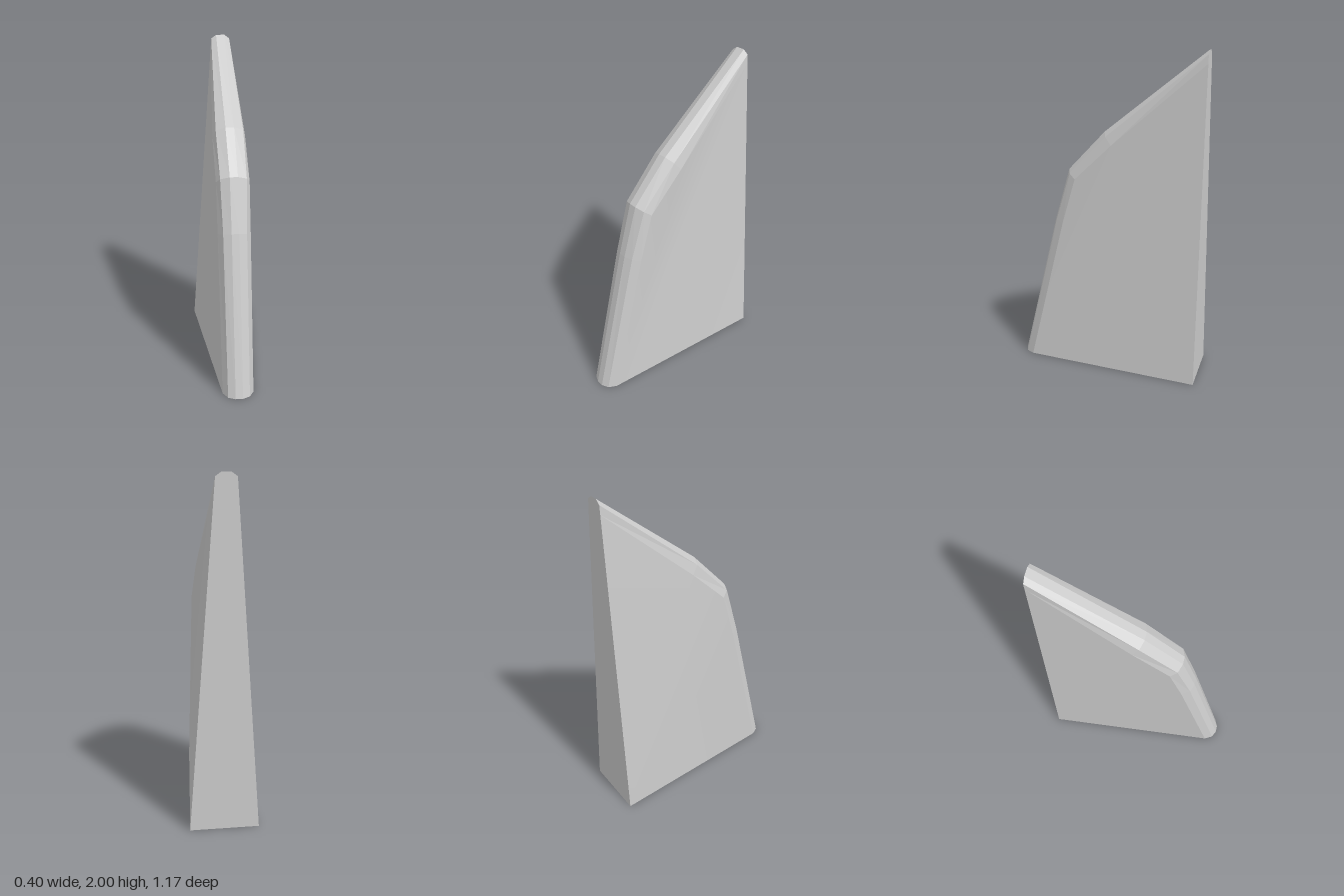
import * as THREE from 'three';
import { mergeVertices } from 'three/addons/utils/BufferGeometryUtils.js';

// Stations along the leading edge, from foot to tip.
// Each has three [x, y, z] points of the left half: outer edge, bevel, crest.
const stations = [
  [[0.093, 0, 0.515], [0.065, 0, 0.565], [0.022, 0, 0.585]],
  [[0.098, 0.93, 0.285], [0.07, 0.943, 0.334], [0.022, 0.95, 0.352]],
  [[0.1, 1.22, 0.2], [0.078, 1.25, 0.24], [0.024, 1.266, 0.26]],
  [[0.1, 1.44, -0.03], [0.083, 1.488, 0.01], [0.026, 1.51, 0.03]],
  [[0.063, 1.925, -0.585], [0.059, 1.977, -0.585], [0.027, 2, -0.585]],
];
const mirror = ([x, y, z]) => [-x, y, z];

function makeMesh(name, triangles, flatShading = true) {
  const soup = new THREE.BufferGeometry();
  soup.setAttribute('position', new THREE.Float32BufferAttribute(triangles.flat(2), 3));
  const geometry = mergeVertices(soup);
  geometry.computeVertexNormals();
  const mesh = new THREE.Mesh(geometry, new THREE.MeshStandardMaterial({ color: 0xcccccc, flatShading }));
  mesh.name = name;
  return mesh;
}

// Triangle fan over a polygon, from its first corner
const fan = (points) => points.slice(2).map((p, i) => [points[0], points[i + 1], p]);

export function createModel() {
  const group = new THREE.Group();
  group.name = 'fin';

  // Full cross-sections, left to right over the crest
  const rings = stations.map((half) => [...half, ...half.map(mirror).reverse()]);
  const footLeft = [0.2, 0, -0.585];
  const footRight = mirror(footLeft);

  // Faceted leading edge
  const edge = [];
  for (let i = 0; i < rings.length - 1; i++) {
    for (let j = 0; j < 5; j++) {
      edge.push(...fan([rings[i][j], rings[i + 1][j], rings[i + 1][j + 1], rings[i][j + 1]]));
    }
  }
  group.add(makeMesh('leadingEdge', edge));

  // Left side is slightly hollow (fans from the front foot),
  // right side slightly full (fans from the rear foot)
  const outer = stations.map((s) => s[0]);
  group.add(makeMesh('leftSide', fan([outer[0], footLeft, ...outer.slice(1).reverse()]), false));
  group.add(makeMesh('rightSide', fan([footRight, ...outer.map(mirror)]), false));

  // Upright back and flat base
  group.add(makeMesh('back', fan([footLeft, footRight, ...[...rings[4]].reverse()])));
  group.add(makeMesh('base', fan([footLeft, ...rings[0], footRight])));

  return group;
}
